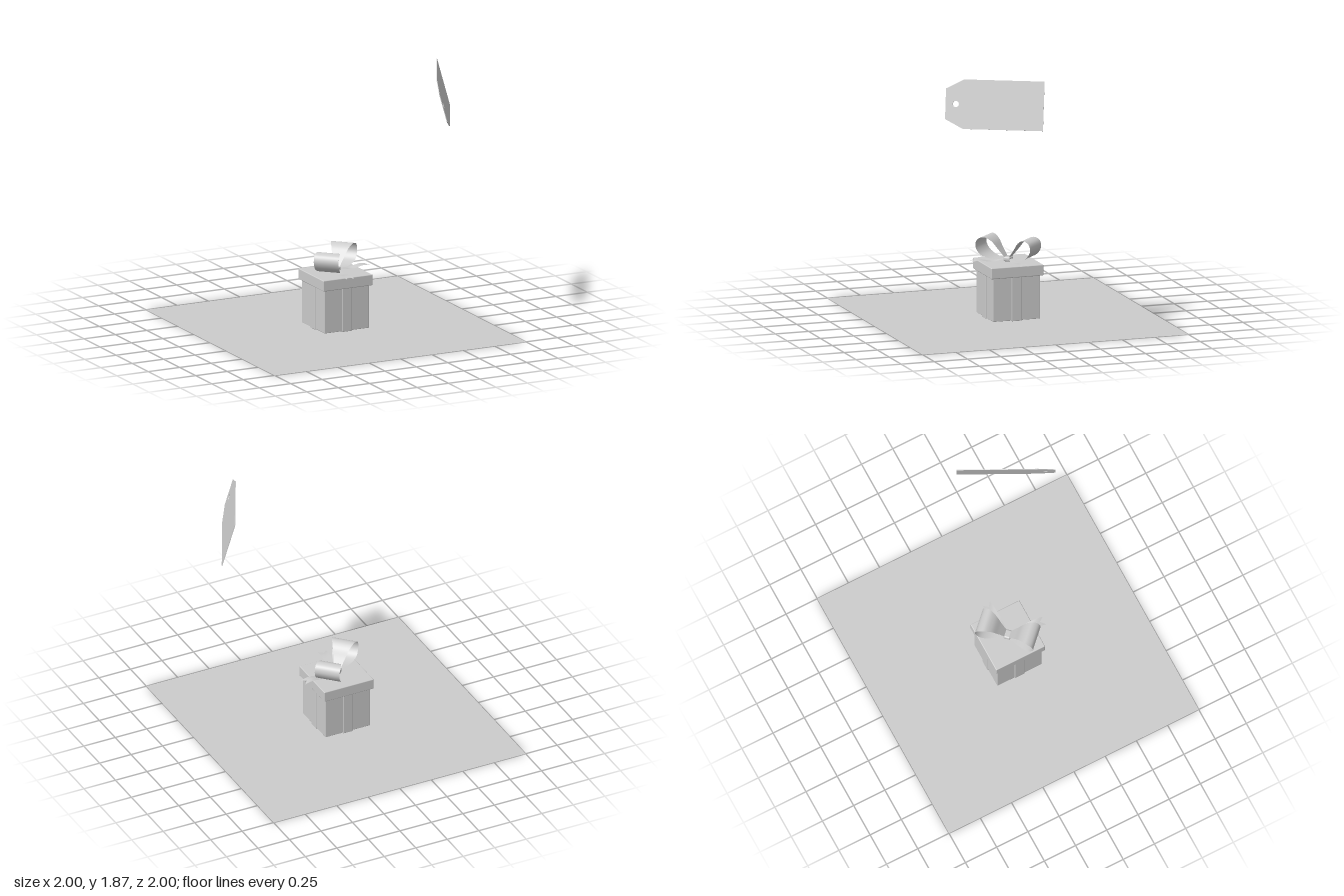
import * as THREE from 'three';
import { RoundedBoxGeometry } from 'three/addons/geometries/RoundedBoxGeometry.js';

const grey = new THREE.MeshStandardMaterial({ color: 0xcccccc });
const sheet = new THREE.MeshStandardMaterial({ color: 0xcccccc, side: THREE.DoubleSide });

function add(parent, name, geometry, material = grey, x = 0, y = 0, z = 0) {
  const mesh = new THREE.Mesh(geometry, material);
  mesh.name = name;
  mesh.position.set(x, y, z);
  parent.add(mesh);
  return mesh;
}

// Ribbon strip: place(t, s) gives a point for t along (0..1) and s across (-1..1)
function strip(along, across, place) {
  const g = new THREE.PlaneGeometry(1, 2, along, across);
  const p = g.attributes.position;
  for (let i = 0; i < p.count; i++) {
    const v = place(p.getX(i) + 0.5, p.getY(i));
    p.setXYZ(i, v.x, v.y, v.z);
  }
  g.computeVertexNormals();
  return g;
}

function bowLoop(side) {
  const curve = new THREE.CatmullRomCurve3([
    [0.012, 0.425], [0.06, 0.488], [0.105, 0.548], [0.155, 0.574], [0.2, 0.556],
    [0.215, 0.51], [0.185, 0.455], [0.12, 0.424], [0.012, 0.416],
  ].map(([x, y]) => new THREE.Vector3(x, y, 0)));
  return strip(48, 6, (t, s) => {
    const v = curve.getPoint(t);
    const half = 0.022 + 0.07 * THREE.MathUtils.smoothstep(v.x, -0.02, 0.2);
    return new THREE.Vector3(side * v.x, v.y, s * half);
  });
}

function bowTail(side) {
  const start = new THREE.Vector2(0.015, 0.012);
  const dir = new THREE.Vector2(0.201, 0.168);
  const length = dir.length();
  dir.normalize();
  return strip(30, 2, (t, s) => {
    // forked end: the middle stops short of the two points
    const d = t * (length - 0.035 * (1 - Math.abs(s)));
    const half = 0.016 + 0.015 * THREE.MathUtils.smoothstep(d, 0, 0.15);
    const x = start.x + dir.x * d - dir.y * s * half;
    const z = start.y + dir.y * d + dir.x * s * half;
    const y = 0.414 + 0.007 * Math.cos((d / length) * Math.PI * 2.6);
    return new THREE.Vector3(side * x, y, z);
  });
}

function giftTag() {
  const L = 0.351, W = 0.176;
  const shape = new THREE.Shape([
    [L, -W], [L, W], [-0.222, W], [-L, 0.109], [-L, -0.109], [-0.222, -W],
  ].map(([x, y]) => new THREE.Vector2(x, y)));
  const hole = new THREE.Path();
  hole.absarc(-0.278, 0, 0.022, 0, Math.PI * 2, true);
  shape.holes.push(hole);
  const g = new THREE.ExtrudeGeometry(shape, { depth: 0.005, bevelEnabled: false, curveSegments: 24 });
  g.translate(0, 0, -0.0025);
  return g;
}

export function createModel() {
  const model = new THREE.Group();
  model.name = 'giftScene';

  // Ground sheet
  add(model, 'ground', new THREE.PlaneGeometry(2, 2).rotateX(-Math.PI / 2), sheet);

  // Box, wrapping ribbons and lid
  const gift = new THREE.Group();
  gift.name = 'giftBox';
  gift.position.x = gift.position.z = -0.003;
  model.add(gift);
  add(gift, 'boxBody', new RoundedBoxGeometry(0.354, 0.316, 0.354, 2, 0.004), grey, 0, 0.164, 0);
  add(gift, 'ribbonFrontBack', new RoundedBoxGeometry(0.076, 0.328, 0.366, 2, 0.004), grey, 0, 0.166, 0);
  add(gift, 'ribbonSides', new RoundedBoxGeometry(0.366, 0.328, 0.076, 2, 0.004), grey, 0, 0.166, 0);
  add(gift, 'lid', new RoundedBoxGeometry(0.392, 0.08, 0.392, 3, 0.006), grey, 0, 0.36, 0);

  // Bow set diagonally on the lid
  const bow = new THREE.Group();
  bow.name = 'bow';
  bow.rotation.y = Math.PI / 4;
  gift.add(bow);
  add(bow, 'knot', new RoundedBoxGeometry(0.052, 0.034, 0.066, 3, 0.012), grey, 0, 0.418, 0);
  for (const side of [1, -1]) {
    const label = side > 0 ? 'left' : 'right';
    add(bow, label + 'Loop', bowLoop(side), sheet);
    add(bow, label + 'Tail', bowTail(side), sheet);
  }

  // Tilted tag floating above
  const tag = add(model, 'tag', giftTag(), grey, 0.678, 1.695, 0.342);
  const u = new THREE.Vector3(0.456, 0, -0.89).normalize();
  const n = u.clone().cross(new THREE.Vector3(-0.227, 0.966, -0.128)).normalize();
  tag.quaternion.setFromRotationMatrix(new THREE.Matrix4().makeBasis(u, n.clone().cross(u), n));

  return model;
}
